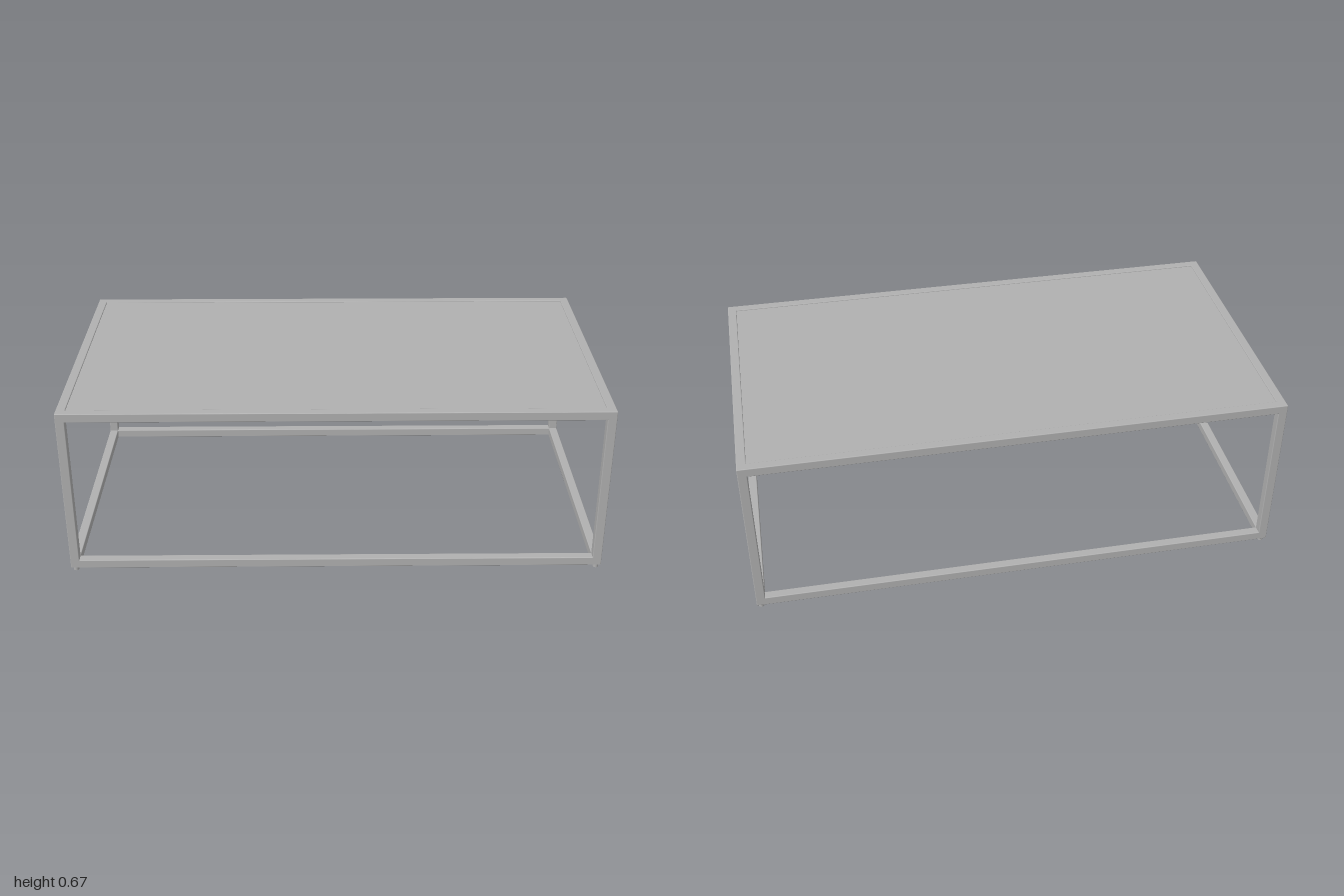
import * as THREE from 'three';
import { RoundedBoxGeometry } from 'three/addons/geometries/RoundedBoxGeometry.js';

const W = 2, D = 1.08, BOTTOM = 0.015, TOP = 0.665, TUBE = 0.034;

export function createModel() {
  const table = new THREE.Group();
  table.name = 'coffeeTable';
  const steel = new THREE.MeshStandardMaterial({ color: 0xb0b0b0 });
  steel.name = 'greySteel';

  const add = (name, geometry, x, y, z) => {
    const mesh = new THREE.Mesh(geometry, steel);
    mesh.name = name;
    mesh.position.set(x, y, z);
    table.add(mesh);
  };
  const bar = (w, h, d) => new RoundedBoxGeometry(w, h, d, 2, 0.003);

  const px = (W - TUBE) / 2, pz = (D - TUBE) / 2;
  const lowY = BOTTOM + TUBE / 2, highY = TOP - TUBE / 2;

  // Corner legs, each on a small round foot
  const leg = bar(TUBE, TOP - BOTTOM, TUBE);
  const foot = new THREE.CylinderGeometry(0.01, 0.01, 0.02, 20);
  for (const sx of [-1, 1]) {
    for (const sz of [-1, 1]) {
      add('leg', leg, sx * px, (TOP + BOTTOM) / 2, sz * pz);
      add('foot', foot, sx * px, 0.01, sz * pz);
    }
  }

  // Upper and lower rails join the legs into an open box frame
  const longRail = bar(W, TUBE, TUBE);
  const sideRail = bar(TUBE, TUBE, D);
  for (const [level, y] of [['lower', lowY], ['upper', highY]]) {
    for (const s of [-1, 1]) {
      add(level + 'LongRail', longRail, 0, y, s * pz);
      add(level + 'SideRail', sideRail, s * px, y, 0);
    }
  }

  // Table top set just inside the upper rails
  const panel = new THREE.BoxGeometry(W - 2 * TUBE + 0.004, 0.018, D - 2 * TUBE + 0.004);
  add('tableTop', panel, 0, TOP - 0.013, 0);

  return table;
}
